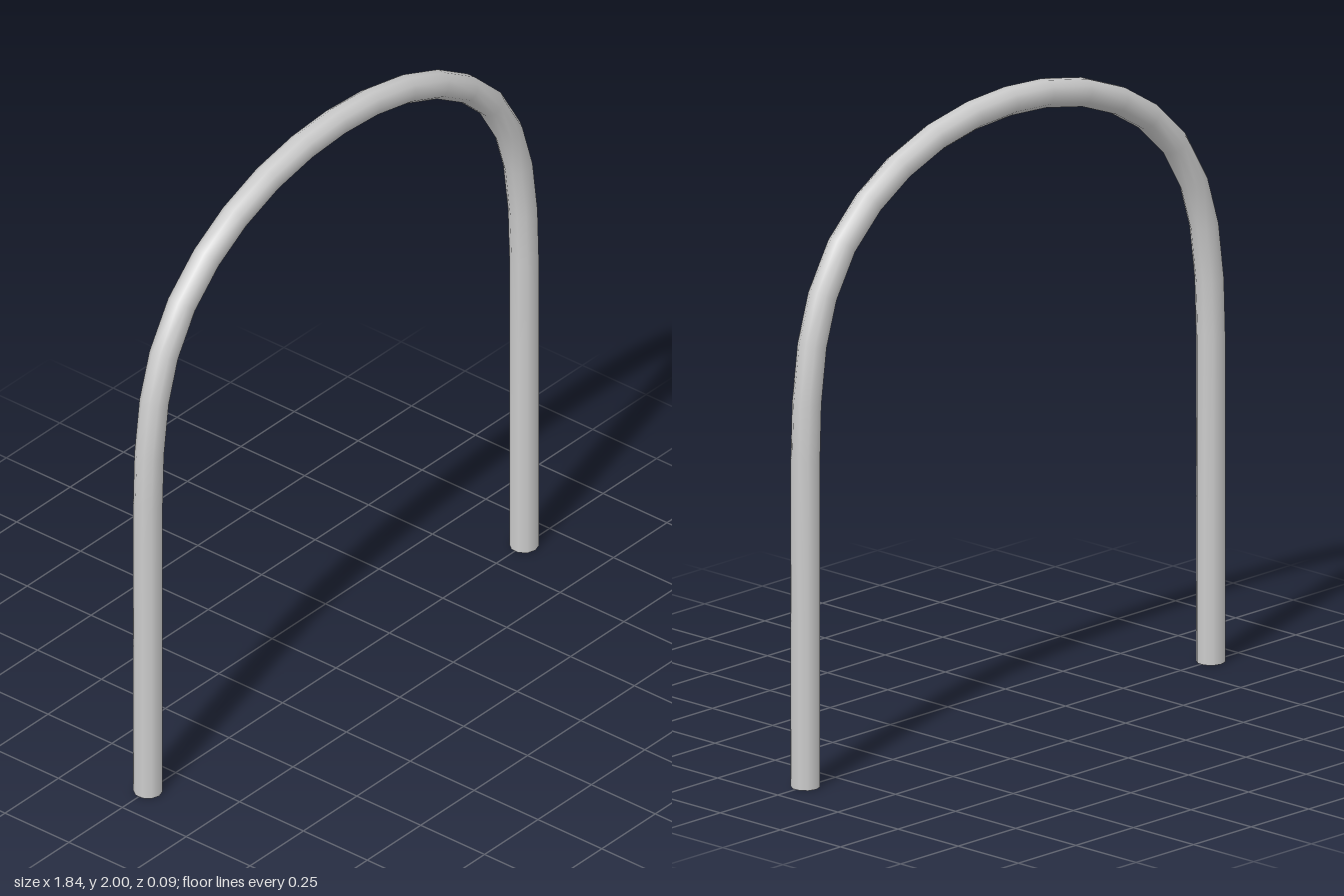
import * as THREE from 'three';

const RADIUS = 0.0445, SIDES = 10, LEG_X = 0.88;

// Right half of the centre line, from the foot to the crown
const half = [
  [LEG_X, 0], [LEG_X, 0.52], [LEG_X, 1.03], [0.874, 1.205], [0.851, 1.38], [0.806, 1.525],
  [0.722, 1.665], [0.606, 1.775], [0.475, 1.855], [0.32, 1.915], [0.157, 1.948], [0, 1.958],
];
const points = [
  ...half.map(([x, y]) => new THREE.Vector3(-x, y, 0)),
  ...half.slice(0, -1).reverse().map(([x, y]) => new THREE.Vector3(x, y, 0)),
];

// Centre line whose tube rings fall exactly on the listed points
class ArchPath extends THREE.Curve {
  getPointAt(u, target = new THREE.Vector3()) {
    return target.copy(points[Math.round(u * (points.length - 1))]);
  }
  getTangentAt(u, target = new THREE.Vector3()) {
    const i = Math.round(u * (points.length - 1));
    const here = points[i];
    const before = points[i - 1] ?? here, after = points[i + 1] ?? here;
    const a = here.clone().sub(before).normalize();
    return target.copy(after).sub(here).normalize().add(a).normalize();
  }
}

export function createModel() {
  const group = new THREE.Group();
  group.name = 'arch';
  const material = new THREE.MeshStandardMaterial({ color: 0xcccccc });

  // Bent tube
  const tube = new THREE.Mesh(
    new THREE.TubeGeometry(new ArchPath(), points.length - 1, RADIUS, SIDES, false), material);
  tube.name = 'archTube';
  group.add(tube);

  // Flat ends of the two legs
  const capGeometry = new THREE.CircleGeometry(RADIUS, SIDES, Math.PI / 2).rotateX(Math.PI / 2);
  for (const [name, side] of [['leftFoot', 1], ['rightFoot', -1]]) {
    const cap = new THREE.Mesh(capGeometry, material);
    cap.name = name;
    cap.position.x = side * LEG_X;
    group.add(cap);
  }
  return group;
}
